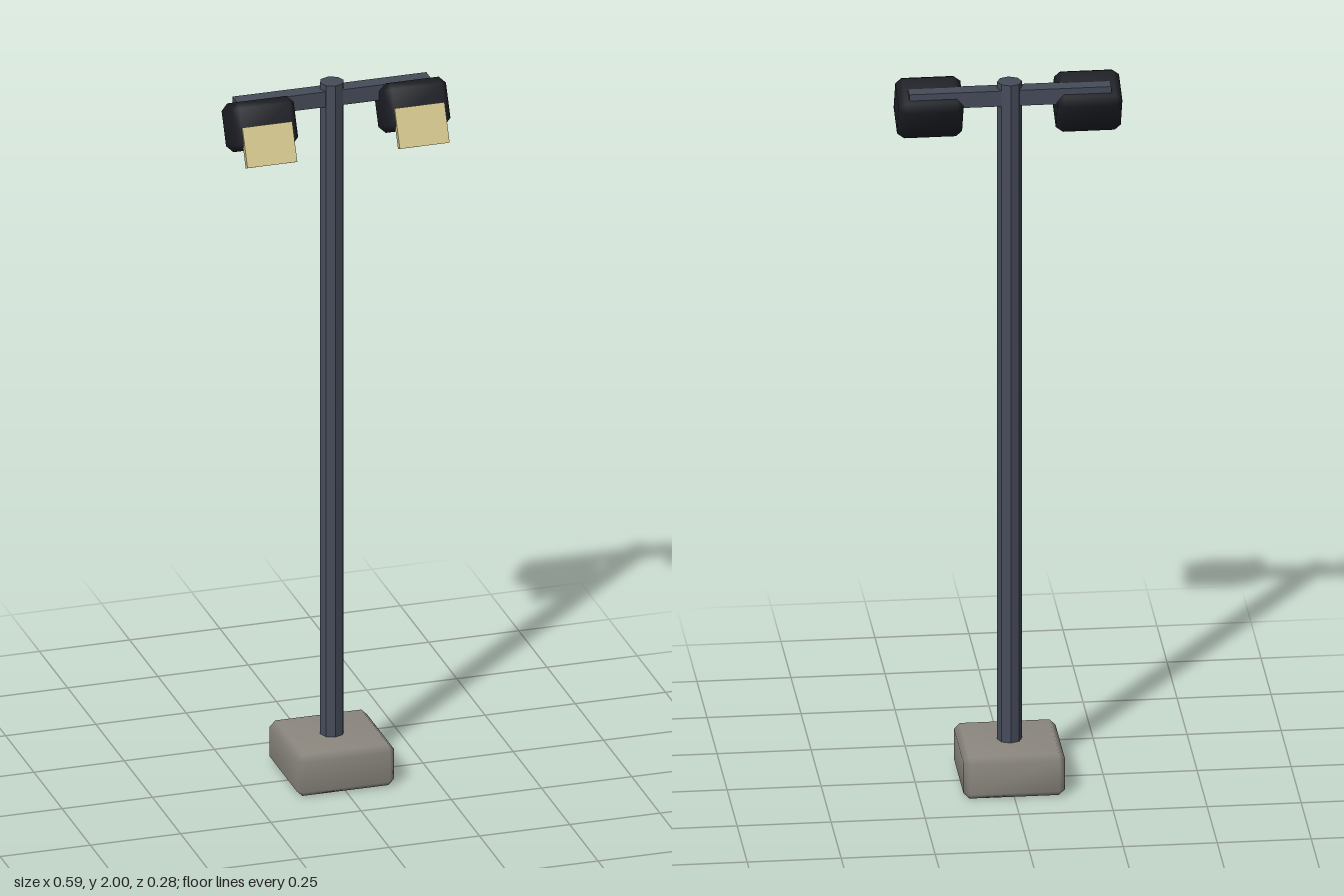
import * as THREE from 'three';
import { ConvexGeometry } from 'three/addons/geometries/ConvexGeometry.js';
import { mergeVertices } from 'three/addons/utils/BufferGeometryUtils.js';

const concrete = new THREE.MeshStandardMaterial({ color: 0x8c8880 });
const steel = new THREE.MeshStandardMaterial({ color: 0x464c5a });
const housing = new THREE.MeshStandardMaterial({ color: 0x1c1e24 });
const glass = new THREE.MeshStandardMaterial({ color: 0xd2c58c });

const AXIS_Z = -0.009; // depth of the pole's centre line

// Box with a single chamfer on every edge and softened normals
function chamferBox(w, h, d, c) {
  const points = [];
  for (const sx of [-1, 1]) for (const sy of [-1, 1]) for (const sz of [-1, 1]) {
    const x = w / 2, y = h / 2, z = d / 2;
    points.push(
      new THREE.Vector3(sx * x, sy * (y - c), sz * (z - c)),
      new THREE.Vector3(sx * (x - c), sy * y, sz * (z - c)),
      new THREE.Vector3(sx * (x - c), sy * (y - c), sz * z)
    );
  }
  const hull = new ConvexGeometry(points);
  hull.deleteAttribute('normal');
  const geometry = mergeVertices(hull, 1e-4);
  geometry.computeVertexNormals();
  return geometry;
}

function addPart(parent, name, geometry, material, x, y, z) {
  const mesh = new THREE.Mesh(geometry, material);
  mesh.name = name;
  mesh.position.set(x, y, z);
  parent.add(mesh);
  return mesh;
}

export function createModel() {
  const model = new THREE.Group();
  model.name = 'floodlightPole';

  // Concrete footing
  addPart(model, 'base', chamferBox(0.27, 0.118, 0.27, 0.016), concrete, 0, 0.059, AXIS_Z);

  // Octagonal pole
  const poleMaterial = steel.clone();
  poleMaterial.flatShading = true;
  addPart(model, 'pole', new THREE.CylinderGeometry(0.033, 0.033, 1.9, 8), poleMaterial, 0, 1.05, AXIS_Z);

  // Crossbar through the pole head
  addPart(model, 'crossbar', new THREE.BoxGeometry(0.537, 0.044, 0.044), steel, 0, 1.96, AXIS_Z);

  // Tilted lamps, one on each side
  for (const side of [-1, 1]) {
    const lamp = new THREE.Group();
    lamp.name = side > 0 ? 'leftLamp' : 'rightLamp';
    lamp.position.set(side * 0.211, 1.92, 0.028);
    lamp.rotation.x = -THREE.MathUtils.degToRad(25);
    addPart(lamp, 'lampHousing', chamferBox(0.173, 0.13, 0.13, 0.018), housing, 0, 0, 0);
    // Light panel set into the front and hanging below the housing
    addPart(lamp, 'lampPanel', new THREE.BoxGeometry(0.138, 0.108, 0.018), glass, 0, -0.058, 0.062);
    model.add(lamp);
  }

  return model;
}
